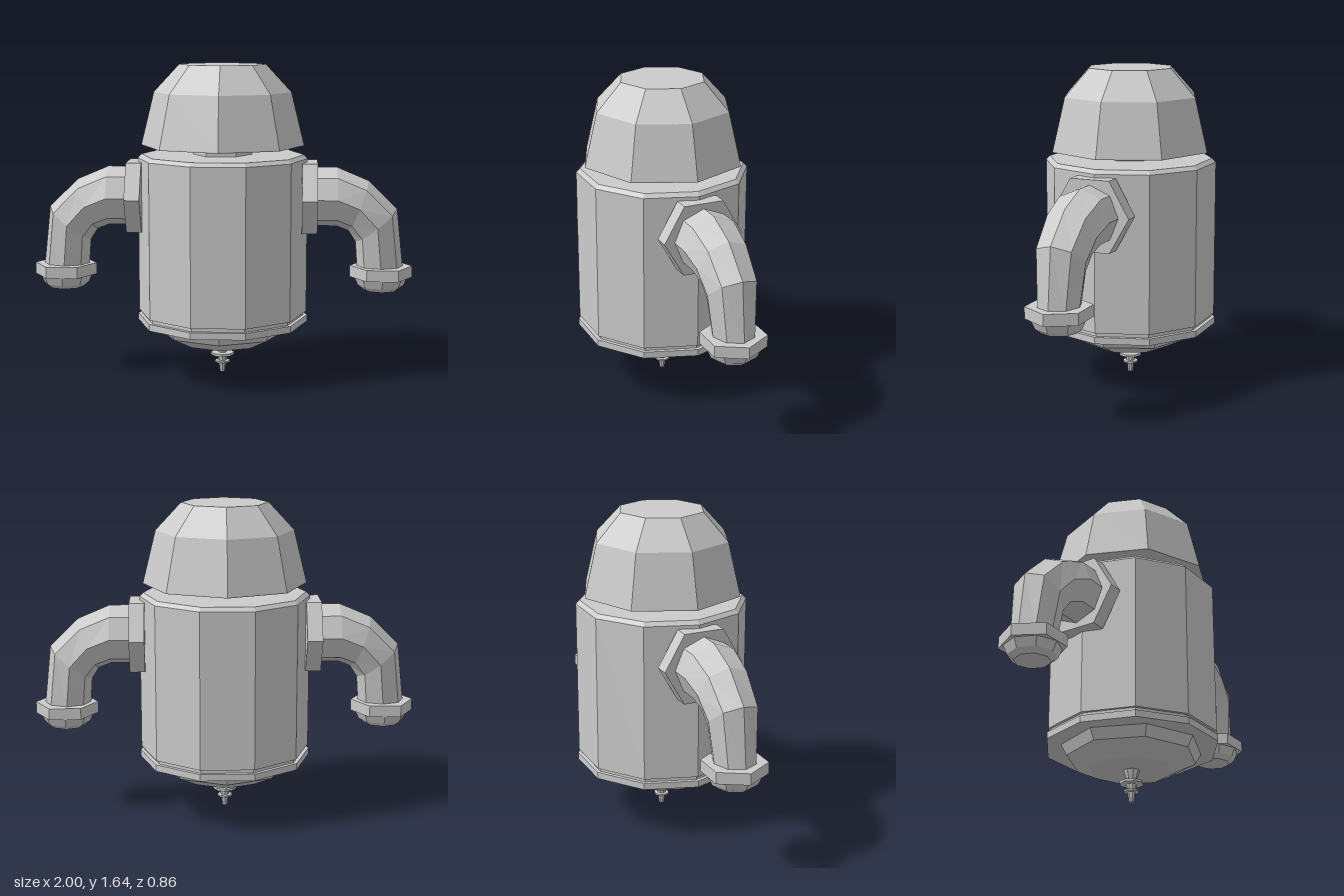
import * as THREE from 'three';

const material = new THREE.MeshStandardMaterial({ color: 0xcccccc, flatShading: true });

// Faceted turned part; points run from bottom to top as [radius, y]
function turned(name, points, sides, start = 0) {
  const profile = points.map(([r, y]) => new THREE.Vector2(r, y));
  const mesh = new THREE.Mesh(new THREE.LatheGeometry(profile, sides, start), material);
  mesh.name = name;
  return mesh;
}

// Bent eight-sided tube; each section is [outer x, y, inner x, y, half depth]
function bentTube(name, sections, sides = 8) {
  const positions = [], index = [];
  sections.forEach(([ox, oy, ix, iy, depth], i) => {
    const cx = (ox + ix) / 2, cy = (oy + iy) / 2;
    for (let j = 0; j < sides; j++) {
      const a = (j / sides) * Math.PI * 2;
      positions.push(cx + (ox - cx) * Math.cos(a), cy + (oy - cy) * Math.cos(a), depth * Math.sin(a));
      if (i === sections.length - 1) continue;
      const p = i * sides + j, q = i * sides + (j + 1) % sides;
      index.push(p, q, p + sides, q, q + sides, p + sides);
    }
  });
  const geometry = new THREE.BufferGeometry();
  geometry.setAttribute('position', new THREE.Float32BufferAttribute(positions, 3));
  geometry.setIndex(index);
  geometry.computeVertexNormals();
  const mesh = new THREE.Mesh(geometry, material);
  mesh.name = name;
  return mesh;
}

function createArm(name) {
  const arm = new THREE.Group();
  arm.name = name;

  // Hexagonal shoulder plate with its corners on the z axis
  const plate = turned('shoulderPlate', [[0, -0.04], [0.21, -0.04], [0.21, 0.04], [0, 0.04]], 6);
  plate.rotation.z = -Math.PI / 2;
  plate.position.set(0.457, 0.955, 0);

  const sleeve = bentTube('armTube', [
    [0.48, 1.11, 0.48, 0.8, 0.155],
    [0.6, 1.11, 0.6, 0.8, 0.155],
    [0.765, 1.04, 0.663, 0.775, 0.143],
    [0.915, 0.893, 0.7, 0.717, 0.13],
    [0.95, 0.58, 0.71, 0.58, 0.105],
  ]);

  // Hexagonal cuff and rounded hand below it
  const cuff = turned('cuff', [[0, 0.53], [0.164, 0.53], [0.164, 0.59], [0, 0.59]], 6, Math.PI / 2);
  const hand = turned('hand', [[0, 0.46], [0.09, 0.462], [0.12, 0.485], [0.14, 0.53], [0, 0.53]], 8);
  cuff.position.x = hand.position.x = 0.836;

  arm.add(plate, sleeve, cuff, hand);
  return arm;
}

export function createModel() {
  const model = new THREE.Group();
  model.name = 'robot';

  // Ten-sided barrel with a base ring, groove and bevelled top
  model.add(turned('body', [
    [0, 0.285], [0.45, 0.285], [0.45, 0.32], [0.43, 0.32], [0.43, 0.34],
    [0.445, 0.34], [0.445, 1.155], [0.425, 1.175], [0, 1.175],
  ], 10, Math.PI / 2));

  // Tapered underside
  model.add(turned('underside', [[0, 0.17], [0.215, 0.17], [0.335, 0.23], [0.367, 0.29]], 8));

  // Nozzle with two thin discs
  model.add(turned('nozzle', [
    [0, 0], [0.014, 0.004], [0.02, 0.055], [0.04, 0.056], [0.04, 0.065], [0.022, 0.066],
    [0.026, 0.096], [0.062, 0.097], [0.062, 0.11], [0.022, 0.111], [0.043, 0.175],
  ], 8));

  // Neck and domed head
  model.add(turned('neck', [[0.155, 1.17], [0.155, 1.23]], 6, Math.PI / 2));
  model.add(turned('head', [
    [0, 1.222], [0.425, 1.222], [0.425, 1.228], [0.358, 1.5], [0.225, 1.643], [0, 1.643],
  ], 8));

  // Matching arms on both sides
  const leftArm = createArm('leftArm');
  const rightArm = createArm('rightArm');
  rightArm.rotation.y = Math.PI;
  model.add(leftArm, rightArm);

  return model;
}
